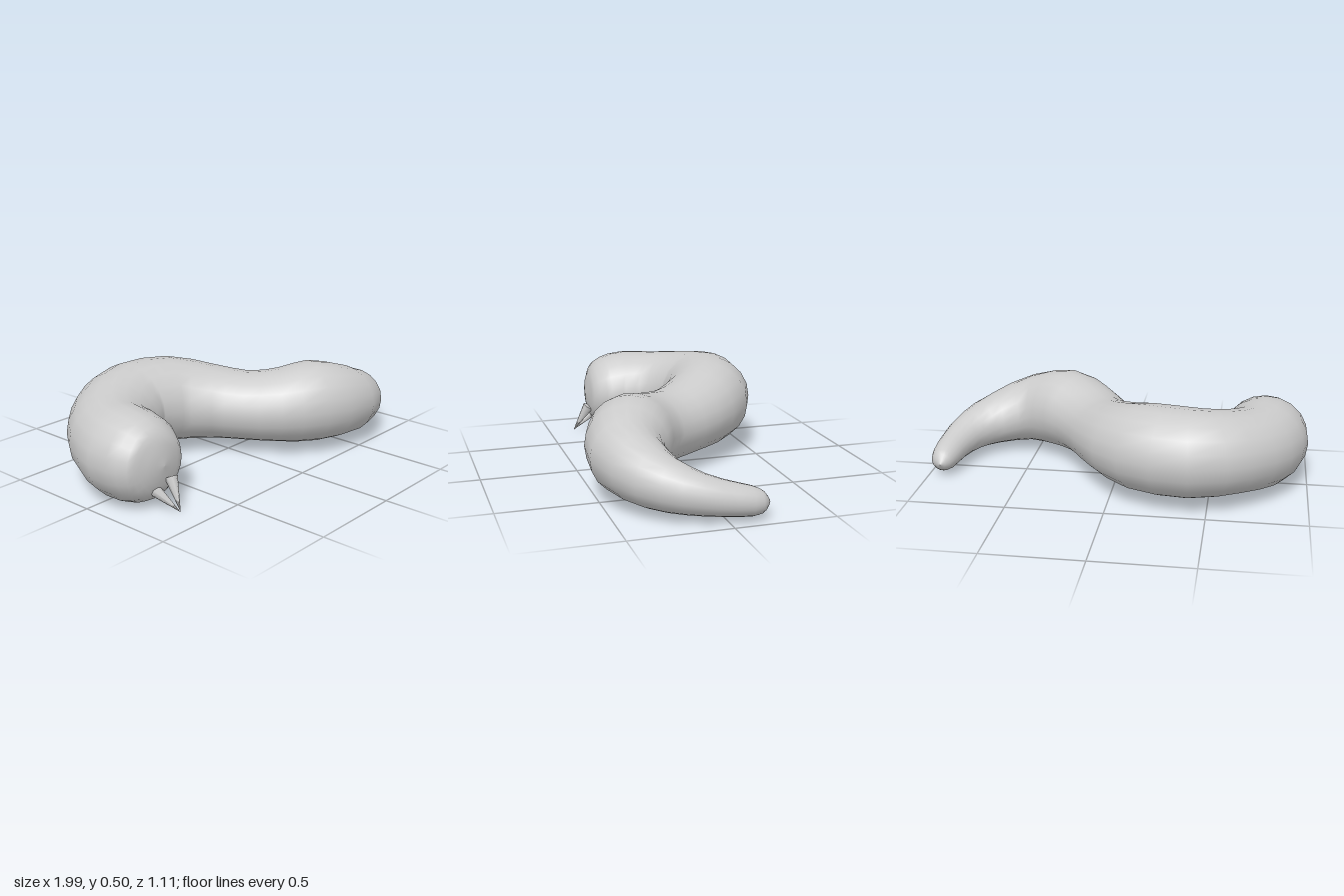
import * as THREE from 'three';

// Cross-sections from head to tail: centre x, y, z, half width, half height
const SECTIONS = [
  [-0.76, 0.22, 0.28, 0, 0],
  [-0.76, 0.22, 0.265, 0.1, 0.1],
  [-0.76, 0.22, 0.235, 0.165, 0.16],
  [-0.765, 0.222, 0.17, 0.21, 0.205],
  [-0.767, 0.226, 0.05, 0.23, 0.225],
  [-0.72, 0.235, -0.1, 0.222, 0.215],
  [-0.59, 0.26, -0.24, 0.23, 0.212],
  [-0.4, 0.275, -0.32, 0.24, 0.224],
  [-0.17, 0.272, -0.26, 0.235, 0.222],
  [-0.01, 0.25, -0.1, 0.212, 0.195],
  [0.09, 0.235, 0.05, 0.2, 0.182],
  [0.19, 0.245, 0.19, 0.21, 0.195],
  [0.33, 0.257, 0.3, 0.218, 0.215],
  [0.54, 0.23, 0.365, 0.187, 0.185],
  [0.74, 0.18, 0.29, 0.145, 0.142],
  [0.85, 0.145, 0.17, 0.112, 0.11],
  [0.9, 0.115, 0.03, 0.087, 0.087],
  [0.92, 0.092, -0.11, 0.071, 0.071],
  [0.92, 0.085, -0.17, 0.045, 0.045],
  [0.92, 0.08, -0.2, 0, 0],
];

// Smooth closed skin swept along the curved spine
function bodyGeometry(rings, sides) {
  const curve = (pts) => new THREE.CatmullRomCurve3(pts, false, 'catmullrom', 0.5);
  const spine = curve(SECTIONS.map((s) => new THREE.Vector3(s[0], s[1], s[2])));
  const girth = curve(SECTIONS.map((s) => new THREE.Vector3(s[3], s[4], 0)));
  const up = new THREE.Vector3(0, 1, 0);
  const pos = [], index = [];
  for (let i = 0; i <= rings; i++) {
    const t = i / rings;
    const c = spine.getPoint(t), r = girth.getPoint(t);
    const dir = spine.getTangent(t).setY(0).normalize();
    const across = new THREE.Vector3().crossVectors(up, dir);
    for (let j = 0; j < sides; j++) {
      const a = (j / sides) * Math.PI * 2;
      const p = c.clone()
        .addScaledVector(across, Math.cos(a) * r.x)
        .addScaledVector(up, Math.sin(a) * r.y);
      pos.push(p.x, p.y, p.z);
      if (i < rings) {
        const k = (j + 1) % sides;
        const a0 = i * sides + j, a1 = i * sides + k;
        index.push(a0, a1, a0 + sides, a1, a1 + sides, a0 + sides);
      }
    }
  }
  const g = new THREE.BufferGeometry();
  g.setAttribute('position', new THREE.Float32BufferAttribute(pos, 3));
  g.setIndex(index);
  g.computeVertexNormals();
  return g;
}

export function createModel() {
  const model = new THREE.Group();
  const material = new THREE.MeshStandardMaterial({ color: 0xcccccc });

  const body = new THREE.Mesh(bodyGeometry((SECTIONS.length - 1) * 2, 20), material);
  body.name = 'body';
  model.add(body);

  // Two fangs whose points meet below the front of the head
  const tip = new THREE.Vector3(-0.742, 0.005, 0.36);
  const fang = (name, x, y, z) => {
    const base = new THREE.Vector3(x, y, z);
    const dir = tip.clone().sub(base);
    const mesh = new THREE.Mesh(new THREE.ConeGeometry(0.032, dir.length(), 8), material);
    mesh.position.copy(base).addScaledVector(dir, 0.5);
    mesh.quaternion.setFromUnitVectors(new THREE.Vector3(0, 1, 0), dir.normalize());
    mesh.name = name;
    model.add(mesh);
  };
  fang('rightFang', -0.79, 0.1, 0.235);
  fang('leftFang', -0.715, 0.15, 0.275);

  return model;
}
